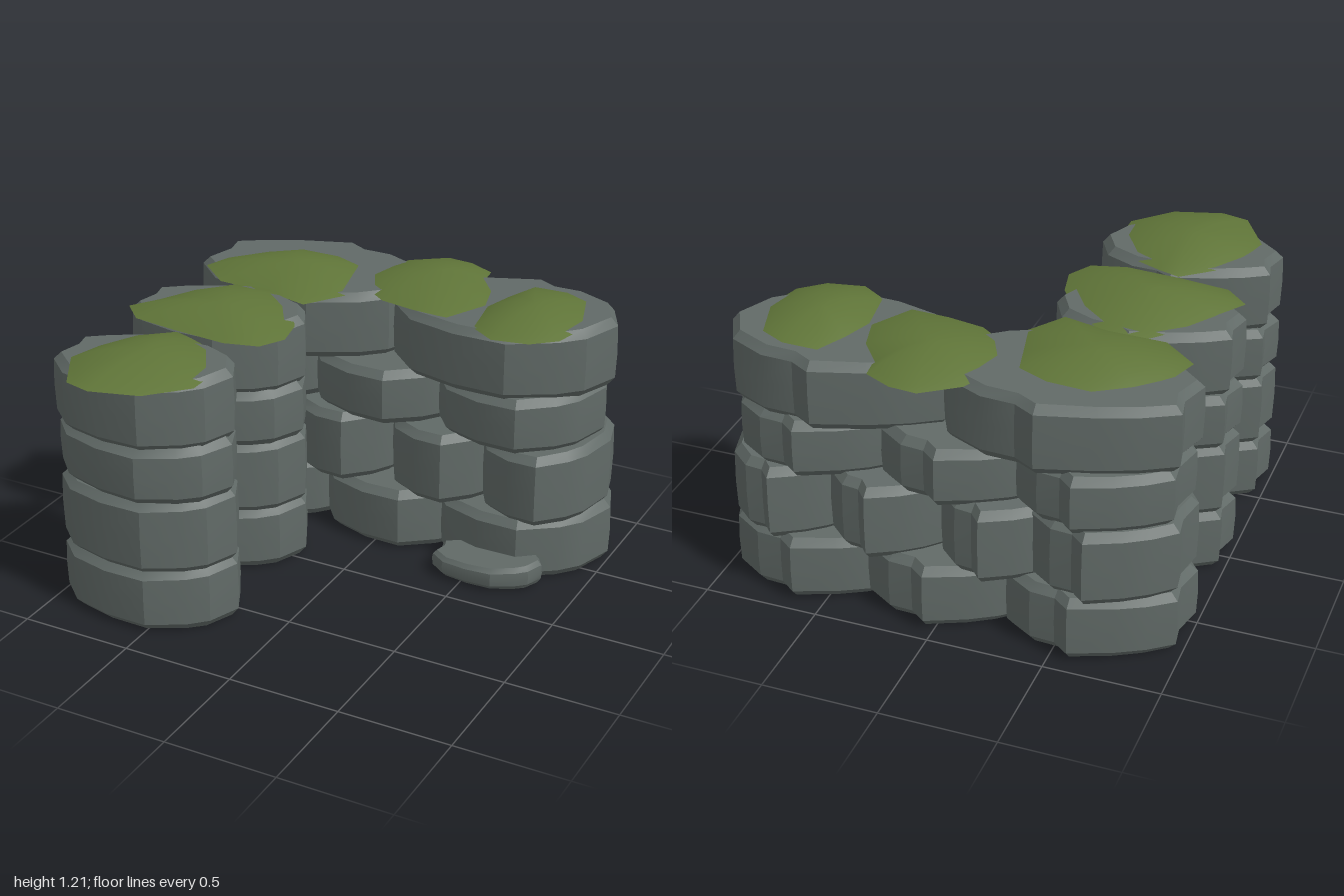
import * as THREE from 'three';
import { toCreasedNormals } from 'three/addons/utils/BufferGeometryUtils.js';

const stoneMat = new THREE.MeshStandardMaterial({ color: 0x616a67 });
const mossMat = new THREE.MeshStandardMaterial({ color: 0x5f7438, side: THREE.DoubleSide });

// Rough stone plan, from the left round the front to the right and back
const PLAN = [
  [-1, 0.38], [-0.72, 0.78], [-0.25, 0.97], [0.25, 1], [0.66, 0.68], [0.85, 0.42], [1, -0.12],
  [0.85, -0.58], [0.52, -0.82], [0.24, -0.84], [0.06, -1], [-0.4, -0.78], [-0.7, -0.58], [-0.96, -0.34], [-0.92, -0.04],
];

// Skins a stack of rings (lists of [x, y, z]) and closes the ends with fans
function loft(rings, top, bottom) {
  const n = rings[0].length;
  const pos = rings.flat(2);
  const idx = [];
  for (let r = 0; r < rings.length - 1; r++) {
    for (let i = 0; i < n; i++) {
      const a = r * n + i, b = r * n + (i + 1) % n;
      idx.push(a, b, b + n, a, b + n, a + n);
    }
  }
  const last = (rings.length - 1) * n;
  const cap = (centre, start, flip) => {
    const c = pos.length / 3;
    pos.push(...centre);
    for (let i = 0; i < n; i++) {
      const a = start + i, b = start + (i + 1) % n;
      idx.push(c, flip ? b : a, flip ? a : b);
    }
  };
  cap(top, last, false);
  if (bottom) cap(bottom, 0, true);
  const g = new THREE.BufferGeometry();
  g.setAttribute('position', new THREE.Float32BufferAttribute(pos, 3));
  g.setIndex(idx);
  g.computeVertexNormals();
  return g;
}

// A chamfered stone block, its top tilted up a little to the right
function stone(name, x, z, w, d, y0, y1, turn = 0) {
  const c = Math.min(0.035, (y1 - y0) * 0.2), mid = (y0 + y1) / 2;
  const ring = (y, inset, tilt) => PLAN.map(([px, pz]) => [
    px * (w / 2 - inset), y + tilt * (px - pz * 0.4), pz * (d / 2 - inset),
  ]);
  const g = loft([
    ring(y0, c, 0), ring(y0 + c, 0.004, 0.003), ring(mid, 0, 0),
    ring(y1 - c, 0.004, 0.008), ring(y1, c, 0.01),
  ], [0, y1, 0], [0, y0, 0]);
  const mesh = new THREE.Mesh(toCreasedNormals(g, 0.42), stoneMat);
  mesh.name = name;
  mesh.position.set(x, 0, z);
  mesh.rotation.y = turn;
  return mesh;
}

// A thin moss dome over a free outline of [x, z] points, its rim sunk near the stone tops
function moss(name, outline) {
  const n = outline.length;
  const cx = outline.reduce((s, p) => s + p[0], 0) / n;
  const cz = outline.reduce((s, p) => s + p[1], 0) / n;
  const base = 1.144, height = 0.064, rings = [];
  for (const t of [1, 0.9, 0.75, 0.55, 0.35, 0.15]) {
    const y = base + height * (1 - t * t);
    rings.push(outline.map(([x, z]) => [cx + (x - cx) * t, y, cz + (z - cz) * t]));
  }
  const mesh = new THREE.Mesh(loft(rings, [cx, base + height, cz]), mossMat);
  mesh.name = name;
  return mesh;
}

export function createModel() {
  const model = new THREE.Group();
  const layers = [[0, 0.285], [0.275, 0.61], [0.602, 0.858], [0.846, 1.152]];

  // Back wall, each course given as [centre x, width]
  const courses = [
    [[-0.6, 0.78], [0.03, 0.74], [0.61, 0.78]],
    [[-0.65, 0.66], [-0.22, 0.54], [0.27, 0.54], [0.71, 0.54]],
    [[-0.61, 0.7], [-0.04, 0.72], [0.58, 0.73]],
    [[-0.46, 1.04], [0.49, 0.98]],
  ];
  const wall = new THREE.Group();
  wall.name = 'backWall';
  courses.forEach((course, l) => course.forEach(([x, w], i) => {
    const turn = 0.02 * Math.sin(l * 2.1 + i * 1.7);
    wall.add(stone('wallStone', x, -0.6, w, 0.67, ...layers[l], turn));
  }));
  model.add(wall);

  // Two free pillars of stacked stones
  for (const [name, z] of [['middlePillar', -0.003], ['frontPillar', 0.597]]) {
    const pillar = new THREE.Group();
    pillar.name = name;
    layers.forEach(([a, b], l) => {
      pillar.add(stone('pillarStone', -0.6, z, 0.78, 0.53, a, b, 0.04 * Math.sin(l * 2.3 + 0.5)));
    });
    model.add(pillar);
  }

  // Small loose slab at the foot of the wall
  model.add(stone('looseSlab', 0.585, -0.25, 0.49, 0.28, 0.01, 0.112, 0.06));

  // Moss patches
  model.add(
    moss('frontPillarMoss', [[-0.88, 0.73], [-0.76, 0.94], [-0.64, 0.97], [-0.43, 0.91], [-0.28, 0.75], [-0.28, 0.58],
      [-0.38, 0.41], [-0.54, 0.34], [-0.63, 0.31], [-0.76, 0.42], [-0.84, 0.58]]),
    moss('middlePillarMoss', [[-0.96, 0.17], [-0.86, 0.27], [-0.65, 0.3], [-0.4, 0.32], [-0.25, 0.28], [-0.19, 0.17],
      [-0.22, 0.03], [-0.32, -0.13], [-0.47, -0.25], [-0.67, -0.25], [-0.8, -0.11], [-0.88, 0.05]]),
    moss('cornerMoss', [[-0.9, -0.38], [-0.75, -0.25], [-0.5, -0.24], [-0.3, -0.19], [-0.18, -0.37], [-0.22, -0.55],
      [-0.25, -0.69], [-0.4, -0.75], [-0.6, -0.75], [-0.74, -0.64], [-0.86, -0.5]]),
    moss('wallMoss', [[-0.2, -0.6], [-0.14, -0.48], [-0.02, -0.39], [0.14, -0.36], [0.31, -0.35], [0.42, -0.53],
      [0.38, -0.69], [0.28, -0.82], [0.27, -0.9], [0.15, -0.96], [0.03, -0.97], [-0.12, -0.86], [-0.17, -0.74]]),
    moss('wallEndMoss', [[0.41, -0.53], [0.45, -0.31], [0.57, -0.23], [0.73, -0.26], [0.83, -0.35], [0.88, -0.56],
      [0.81, -0.79], [0.68, -0.85], [0.51, -0.84], [0.45, -0.68]]),
  );
  return model;
}
